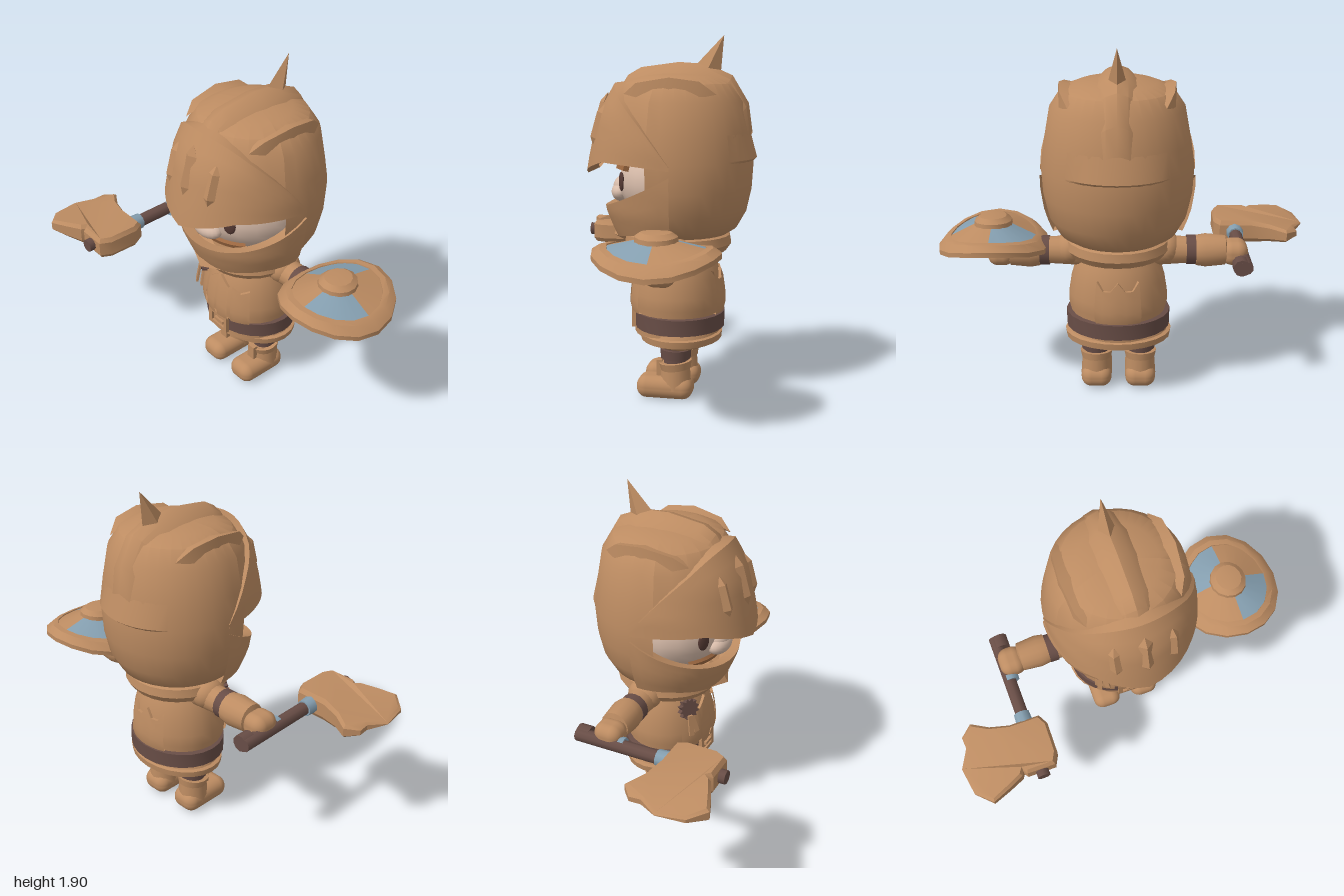
import * as THREE from 'three';
import { toCreasedNormals } from 'three/addons/utils/BufferGeometryUtils.js';
import { RoundedBoxGeometry } from 'three/addons/geometries/RoundedBoxGeometry.js';

const paint = (name, color) => new THREE.MeshStandardMaterial({ name, color, side: THREE.DoubleSide });
const range = (n, f) => Array.from({ length: n + 1 }, (_, i) => f(i / n));
const { lerp, clamp } = THREE.MathUtils;

// Radius at height y from a profile of [radius, height] points
function radiusAt(profile, y) {
  for (let i = 1; i < profile.length; i++) {
    const [r0, y0] = profile[i - 1], [r1, y1] = profile[i];
    if (y <= y1) return lerp(r0, r1, clamp((y - y0) / (y1 - y0), 0, 1));
  }
  return profile[profile.length - 1][0];
}

// Surface through rows of points
function skin(rows) {
  const n = rows[0].length, index = [];
  for (let i = 0; i < rows.length - 1; i++) for (let j = 0; j < n - 1; j++) {
    const a = i * n + j, b = a + n;
    index.push(a, a + 1, b, b, a + 1, b + 1);
  }
  const g = new THREE.BufferGeometry();
  g.setAttribute('position', new THREE.Float32BufferAttribute(rows.flat(2), 3));
  g.setIndex(index);
  return toCreasedNormals(g, 0.6);
}
const lathe = (pts, seg = 24, from = 0, len = Math.PI * 2) =>
  toCreasedNormals(new THREE.LatheGeometry(pts.map(p => new THREE.Vector2(...p)), seg, from, len), 0.6);
const polar = (r, phi, y, sz = 1) => [r * Math.sin(phi), y, r * Math.cos(phi) * sz];

export function createModel() {
  const tan = paint('tan leather', 0xbd8c62), dark = paint('dark brown', 0x684d46);
  const flesh = paint('skin', 0xd8bcaa), steel = paint('blue grey', 0x859fb0);
  const eyeMat = paint('eye brown', 0x553a34), hair = paint('hair brown', 0xa06a42);

  const model = new THREE.Group();
  const root = new THREE.Group();
  root.name = 'warrior';
  root.position.set(0.05, 0, -0.15);
  model.add(root);
  const add = (name, geo, mat, pos = [0, 0, 0], rot = [0, 0, 0], scale = [1, 1, 1]) => {
    const m = new THREE.Mesh(geo, mat);
    m.name = name;
    m.position.set(...pos); m.rotation.set(...rot); m.scale.set(...scale);
    root.add(m);
    return m;
  };
  const cyl = (a, b, h, n = 16) => new THREE.CylinderGeometry(a, b, h, n);
  const ball = new THREE.SphereGeometry(1, 20, 14);

  // Helmet shell: closed behind, open over the face
  const bowl = [[0, 0.86], [0.24, 0.865], [0.31, 0.91], [0.36, 1.0]];
  const dome = [[0.395, 1.27], [0.376, 1.4], [0.345, 1.57], [0.285, 1.66], [0.2, 1.695], [0.1, 1.71], [0, 1.712]];
  add('helmetBack', lathe([...bowl, [0.386, 1.12], ...dome], 20, 1.3, Math.PI * 2 - 2.6), tan);
  add('helmetFront', lathe(dome, 10, -1.3, 2.6), tan);
  add('helmetBowl', lathe(bowl, 10, -1.3, 2.6), tan);
  add('neckLip', skin([[0.374, 1.41, 0], [0.394, 1.28, 0.016], [0.392, 1.265, 0]].map(([r, y, k]) =>
    range(10, v => polar(r + k * (1 - (v * 2 - 1) ** 2), Math.PI + lerp(-0.7, 0.7, v), y)))), tan);

  // Visor with a peaked top and a frowning lower edge
  const front = [[0.49, 1.18], [0.475, 1.27], [0.425, 1.5], [0.335, 1.66]];
  const side = [[0.4, 1.18], [0.395, 1.35], [0.35, 1.57], [0.3, 1.66]];
  const visorR = (y, phi) => lerp(radiusAt(side, y), radiusAt(front, y), Math.cos(phi) ** 2);
  const visorRows = range(6, u => range(24, v => {
    const phi = lerp(-1.62, 1.62, v), a = Math.abs(phi) / 1.62;
    const top = 1.66 - 0.4 * a ** 2.2;
    const bottom = 1.18 + 0.09 * Math.min(1, a * 2.4) - 0.03 * a ** 3;
    const y = lerp(bottom, top, u);
    return polar(visorR(y, phi), phi, y);
  }));
  const inward = (row, k, dy) => row.map(([x, y, z]) => [x * k, y + dy, z * k]);
  add('visor', skin([inward(visorRows[0], 0.87, 0.03), ...visorRows, inward(visorRows[6], 0.78, 0.01)]), tan);
  const slit = toCreasedNormals(lathe([[0, -1], [1, -0.6], [1, 0.6], [0, 1]], 4), 0.1);
  for (const s of [-1, 0, 1])
    add('visorSlit', slit, tan, [s * 0.15, s ? 1.445 : 1.475, s ? 0.392 : 0.418], [-0.28, s * 0.4, 0], [0.037, s ? 0.112 : 0.14, 0.028]);

  // Jaw guard rising to the temples
  const jawProfile = [[0.3, 0.82], [0.34, 0.9], [0.38, 1.0], [0.402, 1.14], [0.402, 1.25]];
  const jawRows = range(5, u => range(24, v => {
    const phi = lerp(-1.62, 1.62, v), a = Math.abs(phi) / 1.62;
    const y = lerp(0.84 + 0.06 * Math.min(1, a * 1.5), 1.02 + 0.19 * a ** 2, u);
    return polar(radiusAt(jawProfile, y), phi, y);
  }));
  add('jawGuard', skin([inward(jawRows[0], 0.7, 0.03), ...jawRows, inward(jawRows[5], 0.84, -0.01)]), tan);
  add('chinRidge', new THREE.OctahedronGeometry(1), tan, [0, 0.865, 0.305], [0.3, 0, 0], [0.11, 0.045, 0.05]);

  // Ridge over the crown, side fins and back spike
  const crest = [[0.36, 1.56], [0.27, 1.7], [0.2, 1.74], [0, 1.767], [-0.15, 1.757], [-0.28, 1.7], [-0.365, 1.56], [-0.385, 1.42]];
  add('crownRidge', skin(crest.map(([z, y]) =>
    [[-0.1, 0.9, -0.06], [-0.055, 0.985, -0.02], [0, 1, 0], [0.055, 0.985, -0.02], [0.1, 0.9, -0.06]].map(([x, k, dy]) => [x, y + dy, z * k]))), tan);
  add('crownSpike', toCreasedNormals(cyl(0, 0.085, 0.24, 4), 0.2), tan, [0, 1.795, -0.185], [-0.42, 0, 0], [0.65, 1, 1]);
  const finCorners = [[0.2, 1.67], [0.292, 1.69], [0.3, 1.59], [0.2, 1.67]];
  for (const s of [-1, 1]) {
    const rows = [[0.24, 0], [0.17, 0.7], [0, 1.05], [-0.15, 0.8], [-0.23, 0]].map(([z, k]) =>
      finCorners.map(([x, y]) => [s * lerp(0.24, x, k), lerp(1.61, y, k), z]));
    add('sideFin', skin(rows), tan);
  }

  // Face
  add('face', ball, flesh, [0, 1.15, 0], [0, 0, 0], [0.312, 0.25, 0.312]);
  add('nose', ball, flesh, [0, 1.085, 0.3], [0, 0, 0], [0.097, 0.055, 0.06]);
  add('noseBridge', ball, flesh, [0, 1.112, 0.295], [0, 0, 0], [0.072, 0.06, 0.056]);
  add('mouth', lathe([[0.29, 1.005], [0.3, 1.03], [0.29, 1.045]], 12, -0.75, 1.5), hair);
  for (const s of [-1, 1]) {
    add('eye', ball, eyeMat, [s * 0.145, 1.155, 0.275], [0, s * 0.48, 0], [0.034, 0.05, 0.012]);
    add('eyebrow', new THREE.BoxGeometry(0.13, 0.04, 0.03), hair, [s * 0.15, 1.235, 0.265], [-0.3, s * 0.48, s * 0.15]);
  }

  // Tunic, belt, skirt
  const tunic = [[0.25, 0.34], [0.25, 0.45], [0.264, 0.5], [0.262, 0.56], [0.248, 0.65], [0.222, 0.74], [0.17, 0.83]];
  add('tunic', lathe(tunic), tan, undefined, undefined, [1, 1, 0.91]);
  add('collar', lathe([[0.2, 0.775], [0.255, 0.785], [0.283, 0.825], [0.275, 0.87], [0.22, 0.9]]), tan);
  add('belt', lathe([[0.24, 0.37], [0.277, 0.374], [0.277, 0.458], [0.24, 0.462]]), dark, [0, 0, -0.012], undefined, [1, 1, 0.86]);
  add('skirt', lathe([[0.25, 0.38], [0.265, 0.35], [0.285, 0.345], [0.28, 0.31], [0.24, 0.3], [0.18, 0.272]]), tan, [0, 0, -0.02], undefined, [1, 1, 0.77]);
  add('hips', lathe([[0, 0.255], [0.14, 0.26], [0.182, 0.276]]), dark, [0, 0, -0.02], undefined, [1, 1, 0.77]);
  const frame = new THREE.Shape([[-0.075, -0.052], [0.075, -0.052], [0.075, 0.052], [-0.075, 0.052]].map(p => new THREE.Vector2(...p)));
  frame.holes.push(new THREE.Path([[-0.05, -0.03], [-0.05, 0.03], [0.05, 0.03], [0.05, -0.03]].map(p => new THREE.Vector2(...p))));
  add('buckle', new THREE.ExtrudeGeometry(frame, { depth: 0.025, bevelEnabled: false }), tan, [0, 0.413, 0.212]);
  add('buckleTongue', new THREE.BoxGeometry(0.07, 0.018, 0.02), tan, [0.01, 0.413, 0.23]);

  // Raised tunic panels with pointed tops
  const panel = (name, p0, p1, y0, top) => {
    const rows = range(6, u => range(6, v => {
      const phi = lerp(p0, p1, v), y = lerp(y0, top(v), u);
      return polar(radiusAt(tunic, y) + 0.016, phi, y, 0.91);
    }));
    add(name, skin([inward(rows[0], 0.92, 0), ...rows, inward(rows[6], 0.9, 0)]), tan);
  };
  for (const s of [-1, 1]) {
    panel('innerPanel', s * 0.03, s * 0.3, 0.463, v => 0.73 - 0.05 * v);
    panel('outerPanel', s * 0.38, s * 0.8, 0.463, v => 0.66 + 0.04 * Math.abs(v - 0.5));
  }
  panel('backPanel', Math.PI - 0.45, Math.PI + 0.45, 0.463, v => 0.66 + 0.03 * Math.cos(v * Math.PI * 4));

  // Badge with ribbon tails
  const star = new THREE.Shape(range(23, t => {
    const i = Math.round(t * 23), r = i % 2 ? 0.045 : 0.062, a = i * Math.PI / 12;
    return new THREE.Vector2(r * Math.cos(a), r * Math.sin(a));
  }));
  add('badge', new THREE.ExtrudeGeometry(star, { depth: 0.03, bevelEnabled: false }), dark, [-0.15, 0.72, 0.18], [-0.25, -0.5, 0]);
  for (const s of [-1, 1])
    add('ribbonTail', new THREE.BoxGeometry(0.028, 0.12, 0.012), tan, [-0.165 + s * 0.018, 0.635, 0.222], [-0.2, -0.55, s * 0.12]);

  for (const s of [-1, 1]) {
    // Legs and boots
    const x = s * 0.12;
    add('leg', cyl(0.065, 0.065, 0.16), dark, [x, 0.26, -0.01]);
    add('kneeBand', cyl(0.083, 0.08, 0.05), dark, [x, 0.245, -0.01]);
    add('bootShaft', cyl(0.075, 0.085, 0.14), tan, [x, 0.125, -0.01]);
    add('bootCuff', cyl(0.088, 0.08, 0.04), tan, [x, 0.18, -0.01], [0.12, 0, 0]);
    add('bootFoot', new RoundedBoxGeometry(0.165, 0.12, 0.3, 4, 0.055), tan, [x, 0.06, 0.045]);
    add('bootStrap', new THREE.BoxGeometry(0.05, 0.12, 0.03), tan, [x, 0.145, 0.075]);

    // Arms
    const along = [0, 0, -s * Math.PI / 2];
    add('upperArm', cyl(0.07, 0.085, 0.24), tan, [s * 0.25, 0.795, -0.02], along);
    add('shoulderCap', ball, tan, [s * 0.25, 0.81, -0.02], undefined, [0.08, 0.085, 0.095]);
    add('bracelet', cyl(0.078, 0.078, 0.05), dark, [s * 0.385, 0.795, -0.02], along);
    add('armCuff', lathe([[0.05, 0], [0.08, 0], [0.088, 0.05], [0.078, 0.155], [0.04, 0.165]], 16), tan, [s * 0.41, 0.795, -0.025], along);
    add('hand', new RoundedBoxGeometry(0.14, 0.13, 0.155, 4, 0.055), tan, [s * 0.615, 0.785, -0.02]);
  }

  // Axe: handle, collars and blade
  const lay = [Math.PI / 2, 0, -0.02];
  add('axeHandle', cyl(0.036, 0.036, 0.84, 10), dark, [-0.655, 0.757, 0.23], lay);
  add('handleEnd', cyl(0.045, 0.045, 0.07, 10), dark, [-0.64, 0.757, -0.155], lay);
  add('handleBand', cyl(0.042, 0.042, 0.03, 10), steel, [-0.645, 0.757, 0.065], lay);
  add('bladeCollar', cyl(0.048, 0.044, 0.06, 10), steel, [-0.655, 0.757, 0.305], lay);
  const outline = [[-0.985, 0.32], [-0.93, 0.22], [-0.935, 0.16], [-0.885, 0.115], [-0.8, 0.165], [-0.69, 0.195], [-0.53, 0.195],
    [-0.505, 0.24], [-0.505, 0.4], [-0.53, 0.45], [-0.67, 0.45], [-0.695, 0.425], [-0.715, 0.455], [-0.8, 0.495], [-0.885, 0.53], [-0.96, 0.46]];
  const blade = new THREE.ExtrudeGeometry(new THREE.Shape(outline.map(p => new THREE.Vector2(...p))),
    { depth: 0.08, bevelThickness: 0.024, bevelSize: 0.015, bevelSegments: 1 });
  blade.translate(0, 0, -0.04).rotateX(Math.PI / 2);
  const bp = blade.attributes.position;
  for (let i = 0; i < bp.count; i++) bp.setY(i, bp.getY(i) * clamp((bp.getX(i) + 1) / 0.3, 0.004, 1) ** 0.6);
  add('axeBlade', toCreasedNormals(blade, 0.5), tan, [-0.05, 0.757, 0.15]);

  // Shield, bowed across its width
  const bow = geo => {
    const p = geo.attributes.position;
    for (let i = 0; i < p.count; i++) p.setY(i, p.getY(i) - 0.75 * p.getX(i) ** 2);
    return toCreasedNormals(geo, 0.5);
  };
  const shieldAt = [0.652, 0.89, -0.01], shieldSize = [0.94, 1, 1];
  add('shieldRim', bow(lathe([[0, 0.015], [0.14, 0.005], [0.28, -0.022], [0.31, -0.015], [0.31, 0.01], [0.27, 0.035], [0.238, 0.035], [0.235, 0.015]], 16)),
    tan, shieldAt, undefined, shieldSize);
  for (let q = 0; q < 4; q++)
    add('shieldQuarter', bow(lathe([[0.238, 0.028], [0.1, 0.06]], 5, q * Math.PI / 2, Math.PI / 2)),
      q % 2 ? tan : steel, shieldAt, undefined, shieldSize);
  add('shieldBoss', bow(lathe([[0.108, 0.05], [0.104, 0.08], [0.075, 0.1], [0, 0.107]], 14)), tan, shieldAt, undefined, shieldSize);
  add('shieldGrip', cyl(0.034, 0.034, 0.18, 10), dark, [0.66, 0.84, -0.04], [Math.PI / 2, 0, 0]);
  add('gripBand', cyl(0.042, 0.042, 0.04, 10), steel, [0.66, 0.84, 0.04], [Math.PI / 2, 0, 0]);
  add('thumb', ball, flesh, [0.715, 0.82, -0.01], undefined, [0.045, 0.045, 0.05]);

  return model;
}
